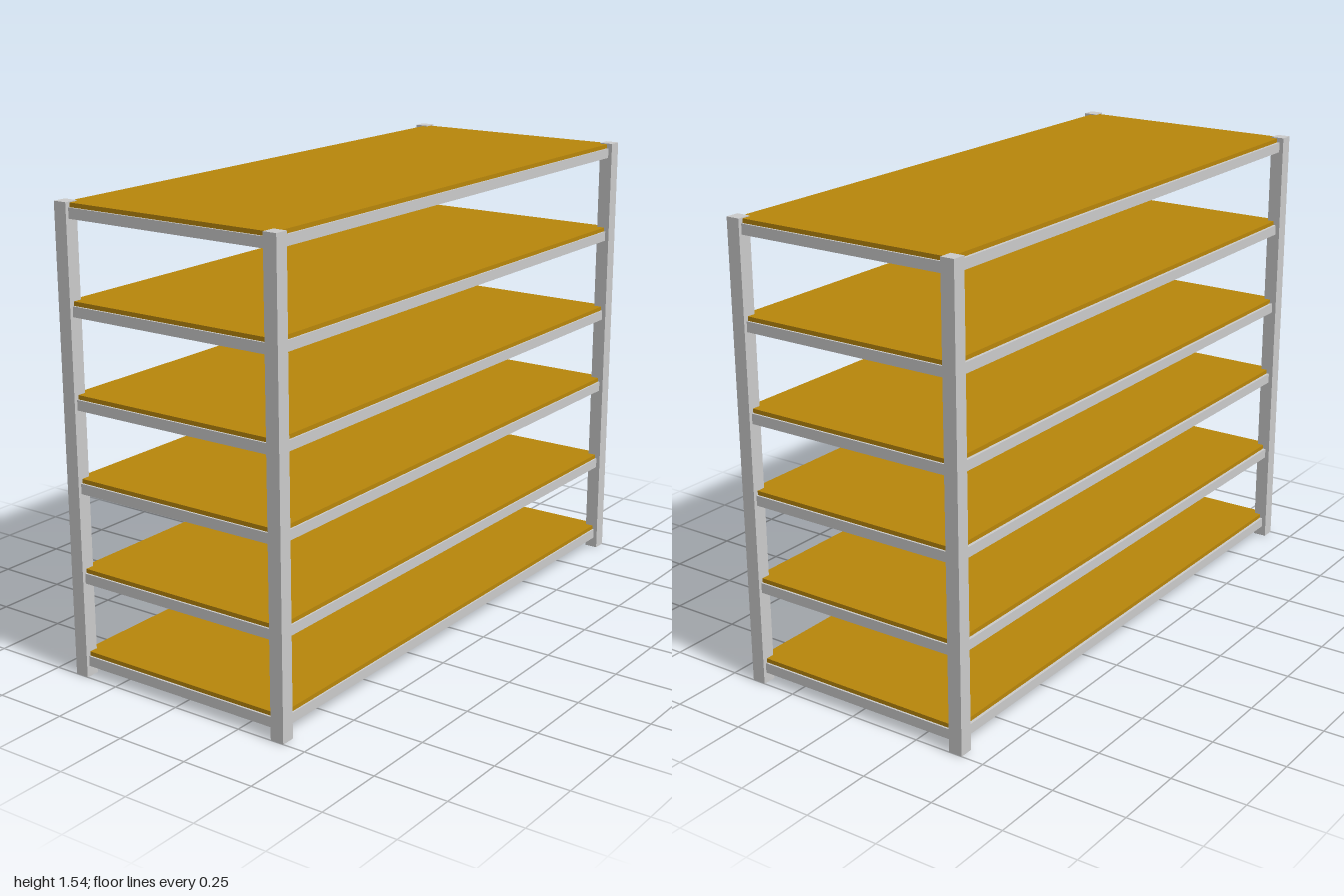
import * as THREE from 'three';

export function createModel() {
  const group = new THREE.Group();
  const steel = new THREE.MeshStandardMaterial({ color: 0xcccccc });
  const wood = new THREE.MeshStandardMaterial({ color: 0xb8860b });

  const box = (name, w, h, d, x, y, z, material) => {
    const mesh = new THREE.Mesh(new THREE.BoxGeometry(w, h, d), material);
    mesh.name = name;
    mesh.position.set(x, y, z);
    group.add(mesh);
  };

  const height = 1.54, post = 0.047;
  const postX = 0.396, postZ = 0.9765;

  // Four corner posts, the rear pair shifted very slightly to the right
  for (const sx of [-1, 1])
    for (const sz of [-1, 1])
      box('cornerPost', post, height, post, sx * postX - (sz < 0 ? 0.003 : -0.002), height / 2, sz * postZ, steel);

  // Each shelf: a board resting on a frame of four narrow beams
  const shelfTops = [0.084, 0.368, 0.668, 0.94, 1.235, 1.537];
  const boardH = 0.014, beamH = 0.034, beamW = 0.02;
  for (const top of shelfTops) {
    const beamY = top - boardH - beamH / 2;
    box('shelfBoard', 0.79, boardH, 1.965, 0.002, top - boardH / 2, 0, wood);
    for (const s of [-1, 1]) {
      box('sideBeam', beamW, beamH, 2 * postZ - post, s * 0.393, beamY, 0, steel);
      box('endBeam', 2 * postX - post, beamH, beamW, 0, beamY, s * 0.979, steel);
    }
  }
  return group;
}
